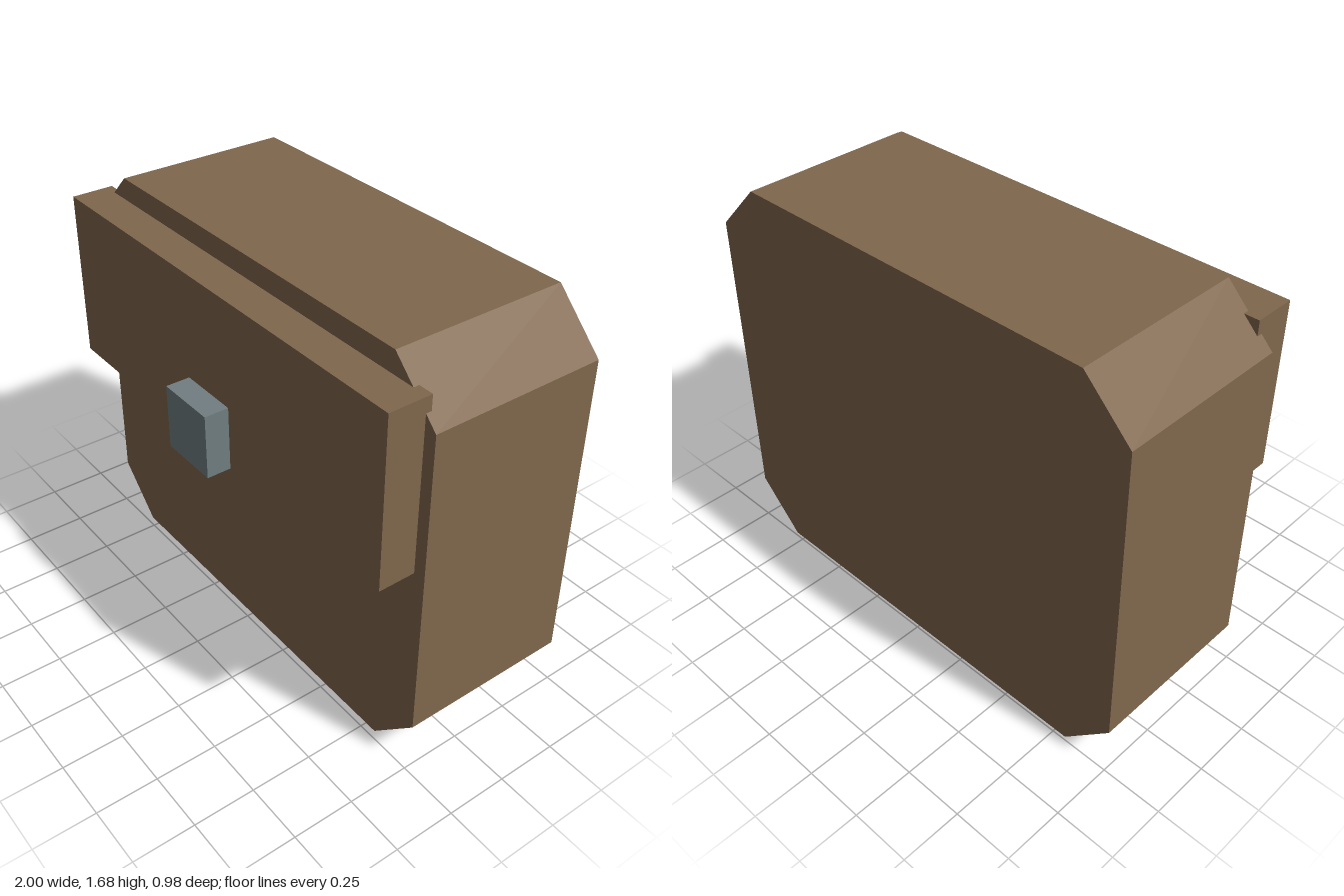
import * as THREE from 'three';

export function createModel() {
  const model = new THREE.Group();
  model.name = 'satchel';

  const leather = new THREE.MeshStandardMaterial({ color: 0x80674d });
  leather.name = 'brown leather';
  const metal = new THREE.MeshStandardMaterial({ color: 0x717e82 });
  metal.name = 'grey metal';

  // Bag body: an eight-sided outline with cut corners, extruded front to back
  const halfWidth = 1, height = 1.677, cut = 0.2;
  const backZ = -0.489, frontZ = 0.225;
  const outline = new THREE.Shape([
    [-halfWidth + cut, 0], [halfWidth - cut, 0],
    [halfWidth, cut], [halfWidth, height - cut],
    [halfWidth - cut, height], [-halfWidth + cut, height],
    [-halfWidth, height - cut], [-halfWidth, cut],
  ].map(([x, y]) => new THREE.Vector2(x, y)));
  const bodyGeometry = new THREE.ExtrudeGeometry(outline, { depth: frontZ - backZ, bevelEnabled: false });
  bodyGeometry.translate(0, 0, backZ);
  const body = new THREE.Mesh(bodyGeometry, leather);
  body.name = 'bagBody';
  model.add(body);

  // Box centred on x, given by its y and z limits
  function addBox(name, material, width, y0, y1, z0, z1) {
    const mesh = new THREE.Mesh(new THREE.BoxGeometry(width, y1 - y0, z1 - z0), material);
    mesh.position.set(0, (y0 + y1) / 2, (z0 + z1) / 2);
    mesh.name = name;
    model.add(mesh);
  }

  // Front flap sinks slightly into the body; the clasp sits just ahead of it
  addBox('frontFlap', leather, 1.9, 0.897, 1.588, 0.202, 0.375);
  addBox('clasp', metal, 0.253, 0.908, 1.173, 0.39, 0.489);

  return model;
}
